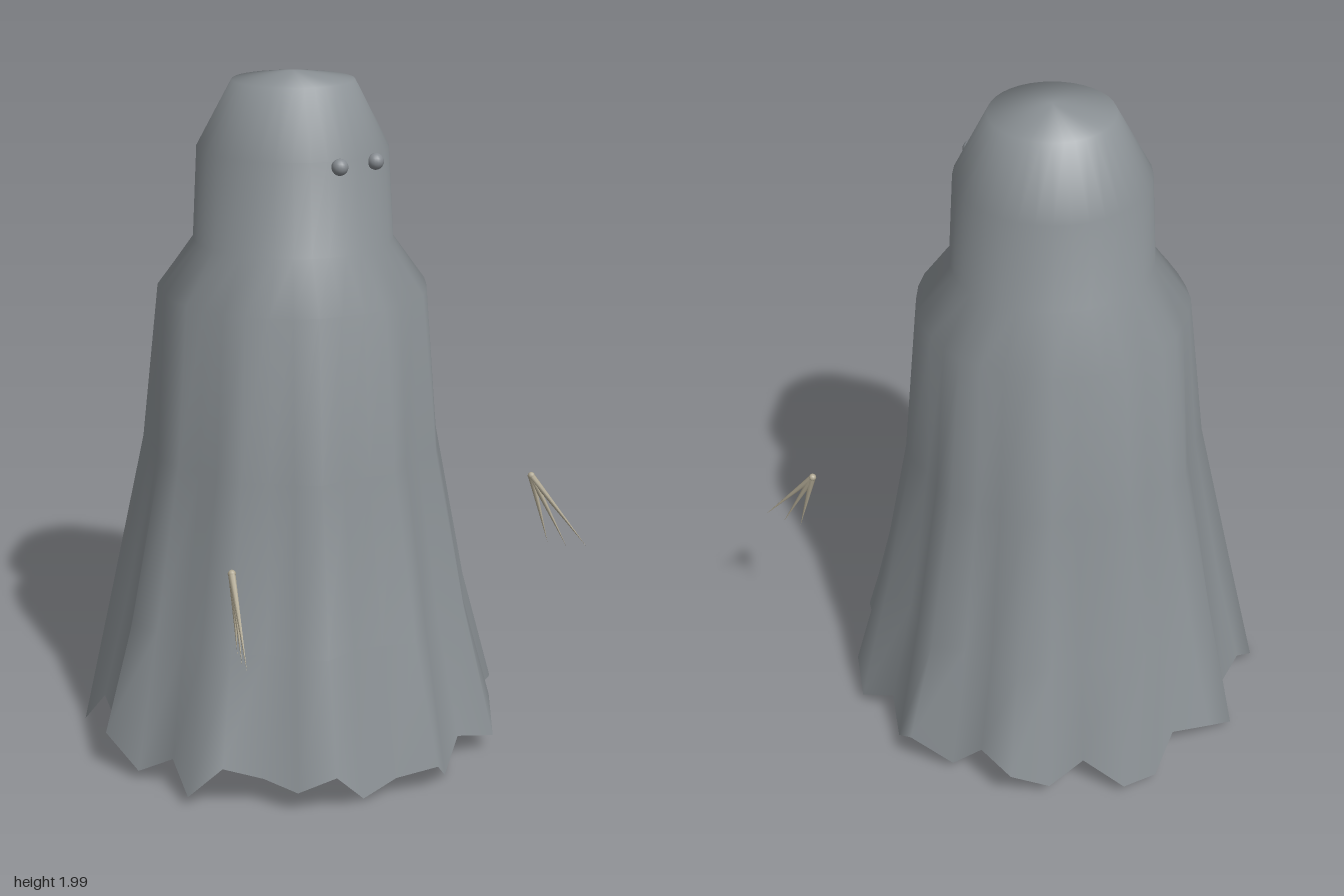
import * as THREE from 'three';
import { mergeVertices } from 'three/addons/utils/BufferGeometryUtils.js';

const clothMat = new THREE.MeshStandardMaterial({ color: 0x8c9296, side: THREE.DoubleSide });
clothMat.name = 'grey cloth';
const eyeMat = new THREE.MeshStandardMaterial({ color: 0x868b90 });
eyeMat.name = 'grey eye';
const clawMat = new THREE.MeshStandardMaterial({ color: 0xb0a893 });
clawMat.name = 'bone';

const SEG = 36;
// hem radius every 10 degrees from front to back, mirrored on the other side
const HEM_R = [0.62, 0.56, 0.545, 0.62, 0.588, 0.55, 0.613, 0.62, 0.556, 0.6,
  0.643, 0.58, 0.588, 0.652, 0.605, 0.577, 0.647, 0.635, 0.58];
// ragged hem heights, all the way round from the front towards the left
const HEM_Y = [0.1, 0.01, 0.09, 0.06, 0.14, 0.1, 0.1, 0.04, 0.1, 0.04, 0.14, 0.04,
  0.15, 0.13, 0.05, 0.12, 0.05, 0.04, 0.11, 0.1, 0.03, 0.08, 0.1, 0.01,
  0.14, 0.12, 0.13, 0.04, 0.1, 0.04, 0.15, 0.1, 0.08, 0.14, 0.02, 0.07];
// rings from crown to hem: height, radius, fold strength, z centre
const RINGS = [
  [2.0, 0, 0, -0.015], [1.975, 0.172, 0, -0.015], [1.79, 0.27, 0, -0.018],
  [1.53, 0.285, 0, -0.016], [1.39, 0.385, 0.08, -0.015], [0.93, 0.425, 0.35, -0.012],
  [0.45, 0.515, 0.65, -0.01], [null, 0.6, 1, 0],
];

// Shroud: smooth at the head, folds growing towards the ragged hem
function shroudGeometry() {
  const pos = [], index = [];
  RINGS.forEach(([y, r, fold, cz], j) => {
    for (let i = 0; i < SEG; i++) {
      const a = (i / SEG) * Math.PI * 2;
      const rr = r + fold * (HEM_R[Math.min(i, SEG - i)] - 0.6);
      pos.push(Math.sin(a) * rr, y === null ? HEM_Y[i] : y, Math.cos(a) * rr + cz);
      if (j === RINGS.length - 1) continue;
      const n = (i + 1) % SEG, p = j * SEG, q = p + SEG;
      if (j > 0) index.push(p + i, q + i, p + n);
      index.push(p + n, q + i, q + n);
    }
  });
  const g = new THREE.BufferGeometry();
  g.setAttribute('position', new THREE.Float32BufferAttribute(pos, 3));
  g.setIndex(index);
  const merged = mergeVertices(g);
  merged.computeVertexNormals();
  return merged;
}

// One claw tapering from its root to a point
function claw(root, tip) {
  const dir = tip.clone().sub(root);
  const g = new THREE.ConeGeometry(0.01, dir.length(), 8);
  const m = new THREE.Mesh(g, clawMat);
  m.name = 'claw';
  m.position.copy(root).add(tip).multiplyScalar(0.5);
  m.quaternion.setFromUnitVectors(new THREE.Vector3(0, 1, 0), dir.normalize());
  return m;
}

export function createModel() {
  const model = new THREE.Group();
  model.name = 'ghost';

  const shroud = new THREE.Mesh(shroudGeometry(), clothMat);
  shroud.name = 'shroud';
  model.add(shroud);

  for (const s of [1, -1]) {
    const side = s > 0 ? 'left' : 'right';
    const eye = new THREE.Mesh(new THREE.SphereGeometry(0.023, 16, 12), eyeMat);
    eye.name = side + 'Eye';
    eye.position.set(s * 0.065, 1.775, 0.255);
    model.add(eye);

    // Floating hand: three claws fanned in one upright plane
    const hand = new THREE.Group();
    hand.name = side + 'Hand';
    const root = new THREE.Vector3(s * 0.572, 0.785, 0.41);
    for (const [t, y] of [[1, 0.585], [0.66, 0.575], [0.33, 0.58]])
      hand.add(claw(root, new THREE.Vector3(s * (0.572 + 0.08 * t), y, 0.41 + 0.16 * t)));
    const knuckle = new THREE.Mesh(new THREE.SphereGeometry(0.011, 10, 8), clawMat);
    knuckle.name = 'knuckle';
    knuckle.position.copy(root);
    hand.add(knuckle);
    model.add(hand);
  }
  return model;
}
